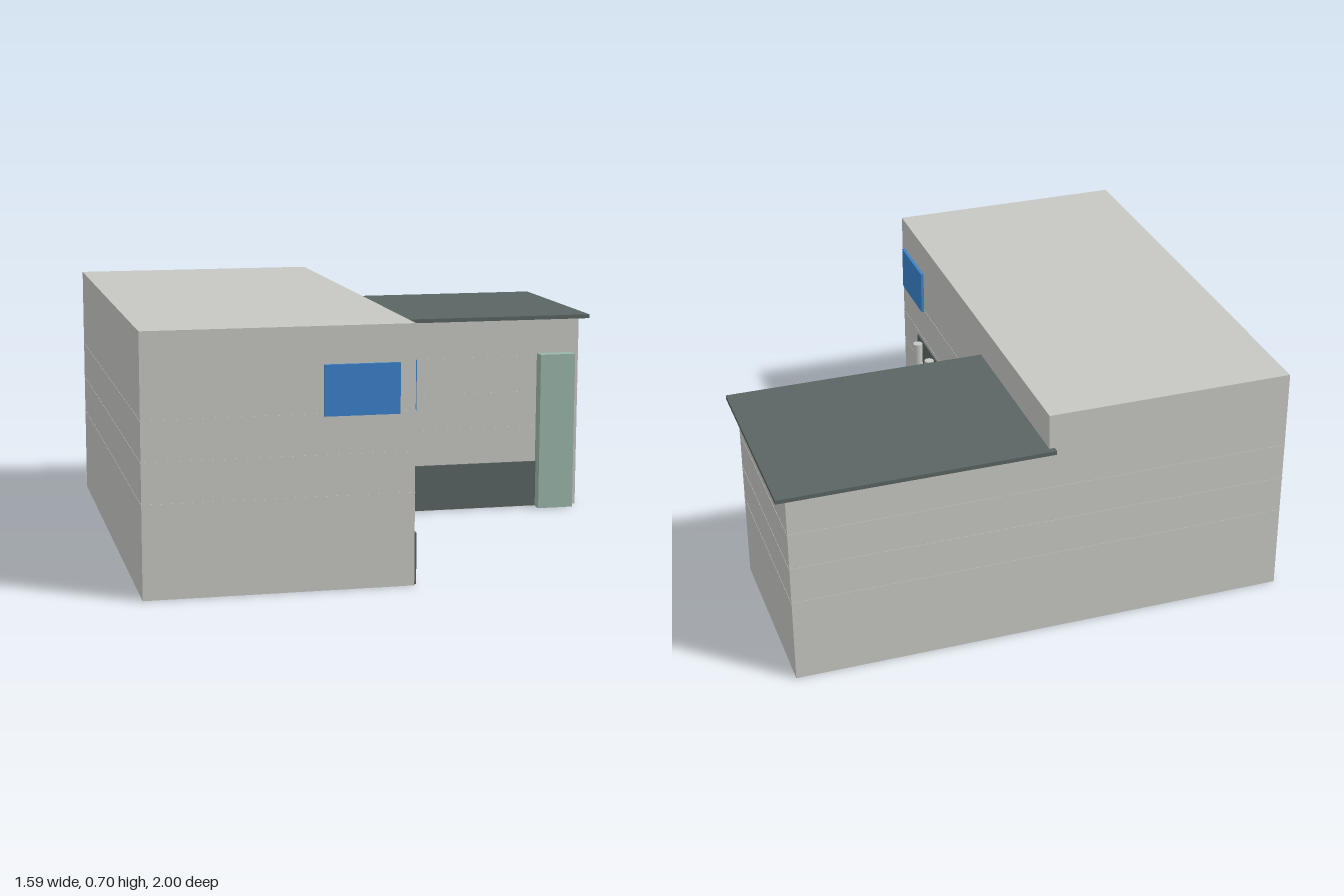
import * as THREE from 'three';

export function createModel() {
  const model = new THREE.Group();
  model.name = 'building';
  const mat = (name, color) => {
    const m = new THREE.MeshStandardMaterial({ color });
    m.name = name;
    return m;
  };
  const wall = mat('pale concrete', 0xc6c6c3);
  const slate = mat('dark slate', 0x5a6563);
  const glass = mat('blue glass', 0x3a82cb);
  const green = mat('pale green', 0x9ab5a8);

  // The plan is turned on the site: local x runs along the hall, local -z along the wing
  const plan = new THREE.Group();
  plan.name = 'plan';
  plan.rotation.y = THREE.MathUtils.degToRad(-29.2);
  plan.position.set(-0.0025, 0, 0.3425);
  model.add(plan);

  // Box given by its extents on each axis
  const box = (name, material, [x0, x1], [y0, y1], [z0, z1]) => {
    const mesh = new THREE.Mesh(new THREE.BoxGeometry(x1 - x0, y1 - y0, z1 - z0), material);
    mesh.position.set((x0 + x1) / 2, (y0 + y1) / 2, (z0 + z1) / 2);
    mesh.name = name;
    plan.add(mesh);
    return mesh;
  };

  const L = 0.705, W = 0.361;        // half length and half width of the hall
  const wingX = -0.127, wingZ = -1.104;

  // Main volumes
  box('mainHall', wall, [-L, L], [0, 0.7], [-W, W]);
  box('wing', wall, [-L, wingX], [0, 0.587], [wingZ, -W]);
  box('wingRoof', slate, [-0.723, -0.115], [0.585, 0.597], [-1.134, -0.345]);

  // Fine horizontal wall joints
  const e = 0.0008;
  for (const y of [0.25, 0.36, 0.469]) {
    box('hallJoint', wall, [-L - e, L + e], [y, y + 0.003], [-W - e, W + e]);
    box('wingJoint', wall, [-L - e, wingX + e], [y, y + 0.003], [wingZ - e, -W]);
  }

  // Dark plinths along the courtyard walls
  box('hallPlinth', slate, [wingX + 0.012, L - 0.003], [0.002, 0.142], [-W - 0.006, -W]);
  box('wingPlinth', slate, [wingX, wingX + 0.006], [0.002, 0.142], [-0.975, -W - 0.015]);

  // Courtyard panel with a row of round columns
  box('columnPanel', slate, [0.037, 0.543], [0.142, 0.35], [-W - 0.004, -W]);
  for (let i = 0; i < 4; i++) {
    const column = new THREE.Mesh(new THREE.CylinderGeometry(0.015, 0.015, 0.21, 20), wall);
    column.position.set(0.097 + i * 0.1265, 0.245, -0.384);
    column.name = 'column';
    plan.add(column);
  }

  // Corner windows
  box('courtyardWindow', glass, [0.47, 0.68], [0.465, 0.6], [-W - 0.009, -W]);
  box('endWindow', glass, [L, L + 0.0095], [0.465, 0.6], [-0.318, -0.116]);

  // Upright entrance slab beside the wing
  box('entranceSlab', green, [wingX - 0.005, -0.087], [0, 0.48], [-1.081, -0.971]);

  return model;
}
